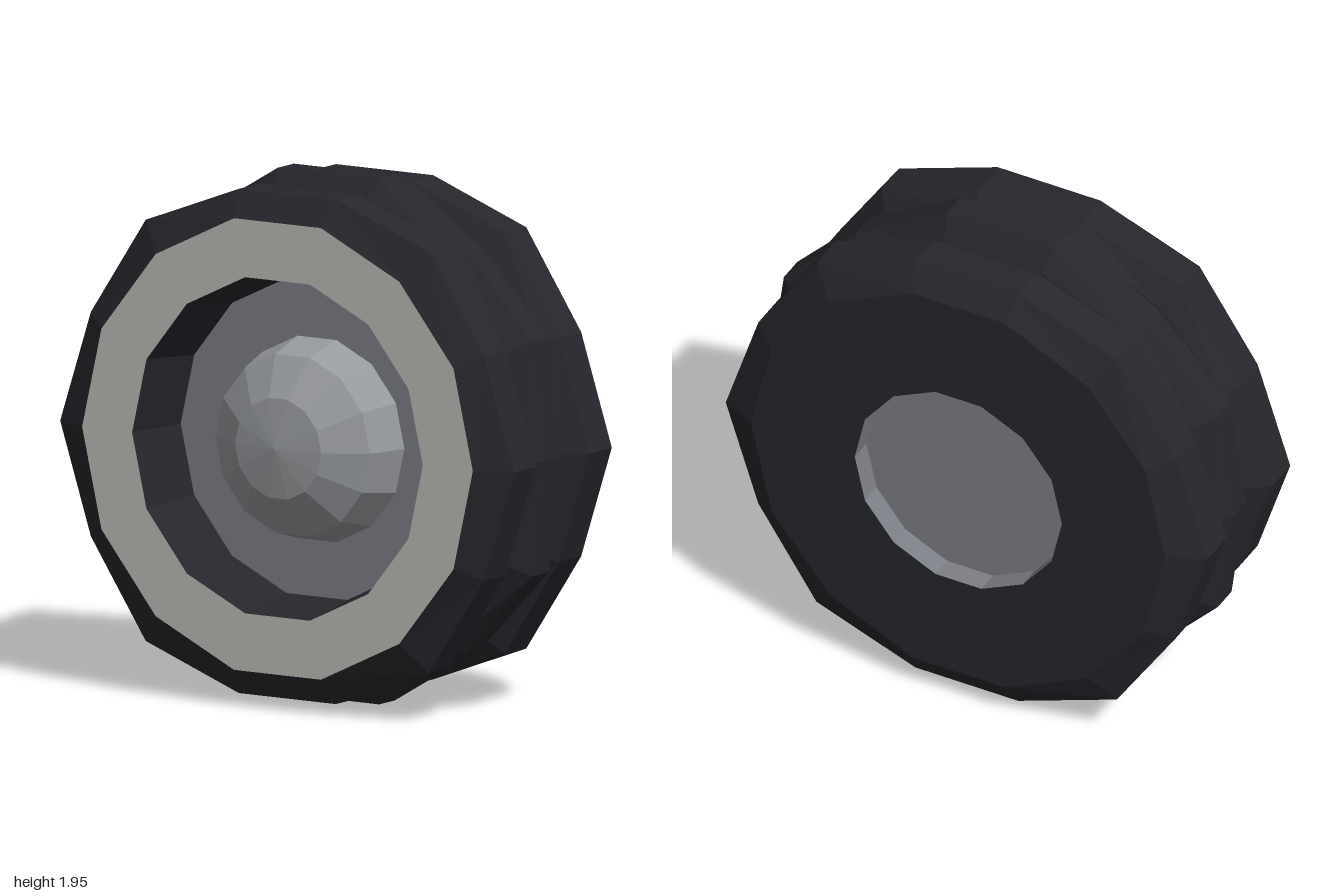
import * as THREE from 'three';

const SIDES = 14;
const CENTRE_Y = 0.98;

// Turns a profile of [radius, z] points, listed back to front, around the wheel axle
function turned(profile) {
  const points = profile.map(([r, z]) => new THREE.Vector2(r, z));
  return new THREE.LatheGeometry(points, SIDES, Math.PI / 2).rotateX(Math.PI / 2);
}

// Lowers some crest corners so that the raised lugs of neighbouring ribs alternate
function shapeLugs(geometry) {
  const outerLugs = [0, 2, 5, 7, 9, 12];
  const pos = geometry.attributes.position;
  for (let i = 0; i < pos.count; i++) {
    const x = pos.getX(i), y = pos.getY(i), z = pos.getZ(i);
    if (Math.hypot(x, y) < 0.95) continue;
    const step = Math.round(Math.atan2(y, x) / (2 * Math.PI) * SIDES);
    const outerHigh = outerLugs.includes((step + SIDES) % SIDES);
    const onCentreRib = Math.abs(z + 0.017) < 0.1;
    if (onCentreRib === outerHigh) pos.setXY(i, x * 0.96, y * 0.96);
  }
  return geometry;
}

export function createModel() {
  const wheel = new THREE.Group();
  wheel.name = 'wheel';

  const add = (name, geometry, color) => {
    const material = new THREE.MeshStandardMaterial({ color, flatShading: true, side: THREE.DoubleSide });
    const mesh = new THREE.Mesh(geometry, material);
    mesh.name = name;
    mesh.position.y = CENTRE_Y;
    wheel.add(mesh);
  };

  // Tyre: back wall, three ribs with grooves between
  add('tyre', shapeLugs(turned([
    [0.43, -0.40], [0.86, -0.40],
    [1, -0.335], [1, -0.19],
    [0.912, -0.13],
    [1, -0.07], [1, 0.035],
    [0.912, 0.10],
    [1, 0.165], [1, 0.305],
    [0.86, 0.37],
  ])), 0x26272c);

  // Pale band on the front and the dark recess inside it
  add('sidewallBand', turned([[0.86, 0.37], [0.64, 0.37]]), 0xbcbcb8);
  add('rimRecess', turned([[0.64, 0.37], [0.60, 0.11]]), 0x26272c);

  // Hub: front plate, domed cap and shallow socket at the back
  add('hubPlate', turned([[0.60, 0.11], [0, 0.11]]), 0x7d7f86);
  add('hubCap', turned([[0.385, 0.11], [0.34, 0.27], [0.19, 0.365], [0, 0.39]]), 0x96999d);
  add('backSocket', turned([[0, -0.31], [0.43, -0.31], [0.43, -0.40]]), 0x7d7f86);

  return wheel;
}
